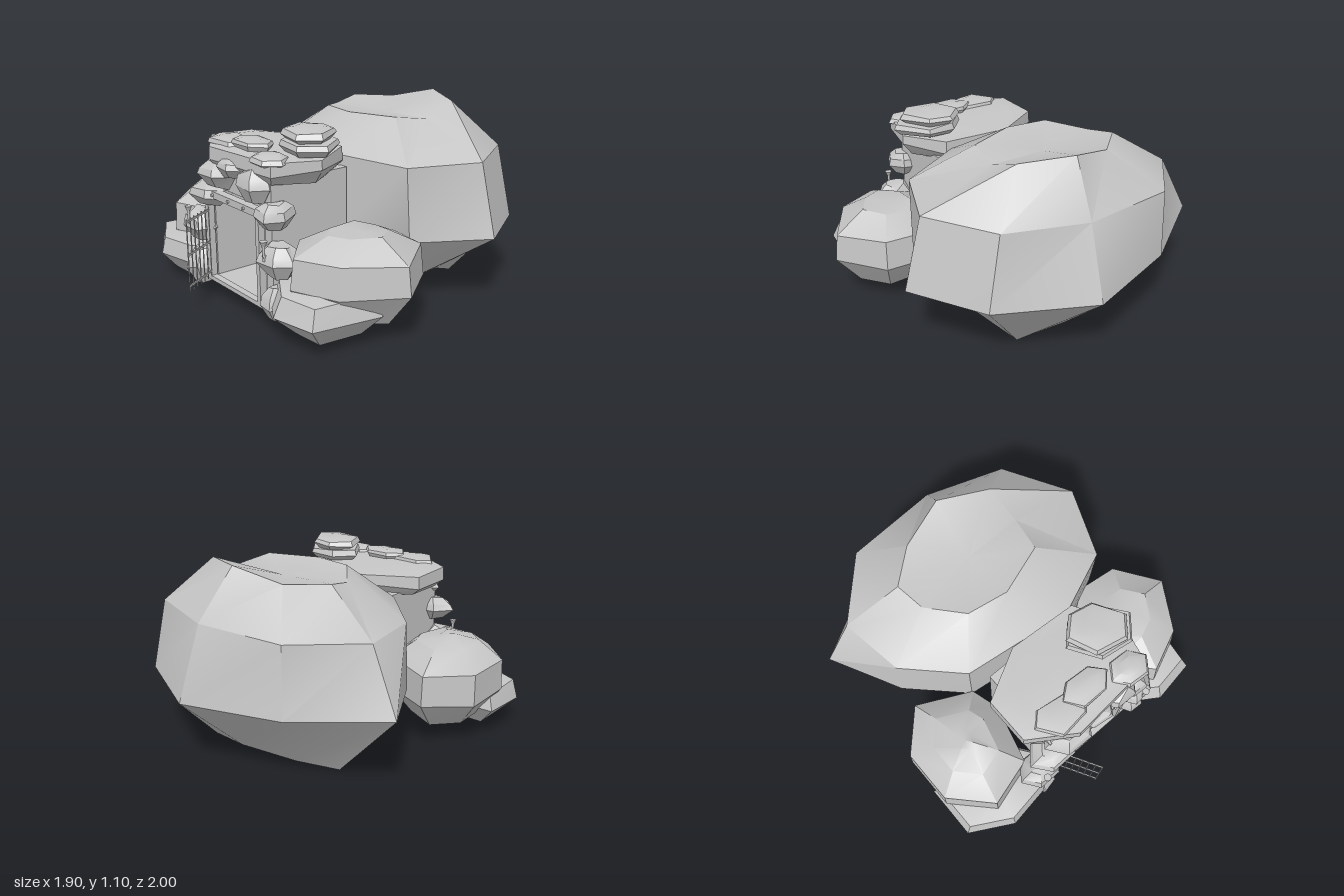
import * as THREE from 'three';
import { toCreasedNormals } from 'three/addons/utils/BufferGeometryUtils.js';

export function createModel() {
  const root = new THREE.Group();
  root.name = 'caveEntrance';
  const stone = new THREE.MeshStandardMaterial({ color: 0xc6c6c6, side: THREE.DoubleSide });
  stone.name = 'grey stone';

  const add = (name, geo, x = 0, y = 0, z = 0, parent = root) => {
    const m = new THREE.Mesh(geo, stone);
    m.name = name;
    m.position.set(x, y, z);
    parent.add(m);
    return m;
  };
  // box given by its minimum and maximum corners
  const box = (name, a, b) => add(name,
    new THREE.BoxGeometry(b[0] - a[0], b[1] - a[1], b[2] - a[2]),
    (a[0] + b[0]) / 2, (a[1] + b[1]) / 2, (a[2] + b[2]) / 2);

  let seed = 7;
  const rand = () => {
    seed = (seed * 16807) % 2147483647;
    return seed / 2147483647 - 0.5;
  };

  // skin stacked rings of points, from bottom to top, with closed ends
  function loft(name, rings, bottom, top) {
    const n = rings[0].length, pos = [...rings.flat(2), ...bottom, ...top], idx = [];
    const b = n * rings.length, t = b + 1, last = b - n;
    for (let i = 0; i < n; i++) {
      const j = (i + 1) % n;
      for (let r = 0; r < rings.length - 1; r++) {
        const o = r * n, u = o + n;
        idx.push(o + i, u + i, o + j, u + i, u + j, o + j);
      }
      idx.push(b, i, j, t, last + j, last + i);
    }
    const g = new THREE.BufferGeometry();
    g.setAttribute('position', new THREE.Float32BufferAttribute(pos, 3));
    g.setIndex(idx);
    add(name, toCreasedNormals(g, 0.5));
  }

  // rock from a plan outline [x, z] and levels [y, scale]
  function rock(name, outline, levels, wobble = 0.02) {
    const n = outline.length;
    const cx = outline.reduce((s, p) => s + p[0], 0) / n;
    const cz = outline.reduce((s, p) => s + p[1], 0) / n;
    const rings = levels.map(([y, s]) => outline.map(([x, z]) =>
      [cx + (x - cx) * s, y + rand() * wobble, cz + (z - cz) * s]));
    loft(name, rings, [cx, levels[0][0], cz], [cx, levels[levels.length - 1][0], cz]);
  }

  // small six-sided boulder filling a box of the given centre and half sizes
  function boulder(name, x, y, z, rx, ry, rz) {
    const outline = [];
    for (let i = 0; i < 6; i++) {
      const a = (i / 6) * Math.PI * 2;
      outline.push([x + rx * Math.cos(a), z + rz * (Math.sin(a) * 1.12 + rand() * 0.25)]);
    }
    rock(name, outline, [[y - ry, 0.55], [y - ry * 0.1, 1], [y + ry * 0.5, 0.88], [y + ry, 0.5]], ry * 0.3);
  }

  // great boulder behind the entrance
  loft('greatBoulder', [
    [[-0.5, 0, -0.43], [-0.3, 0.04, -0.56], [0.05, 0.05, -0.62], [0.33, 0.01, -0.55], [0.45, 0.12, -0.3],
      [0.33, 0.02, -0.07], [0.1, 0.05, 0], [-0.25, 0.08, -0.05], [-0.45, 0.05, -0.2]],
    [[-0.94, 0.46, -0.55], [-0.46, 0.42, -0.84], [0.12, 0.41, -1], [0.64, 0.41, -0.73], [0.88, 0.42, -0.31],
      [0.61, 0.41, 0.07], [0.22, 0.42, 0.24], [-0.42, 0.42, 0.16], [-0.72, 0.44, -0.13]],
    [[-0.76, 0.81, -0.51], [-0.45, 0.82, -0.83], [0.1, 0.82, -0.86], [0.55, 0.83, -0.7], [0.77, 0.83, -0.31],
      [0.6, 0.83, 0.09], [0.22, 0.86, 0.25], [-0.42, 0.83, 0.16], [-0.7, 0.81, -0.13]],
    [[-0.43, 1.03, -0.42], [-0.24, 1.03, -0.58], [0.04, 1.1, -0.66], [0.32, 1.08, -0.53], [0.33, 1, -0.32],
      [0.29, 1.03, -0.11], [0, 1.03, -0.01], [-0.24, 1.03, -0.05], [-0.4, 1, -0.25]],
  ], [-0.15, 0.17, -0.32], [-0.01, 0.99, -0.32]);

  // flanking rocks
  rock('leftUpperRock', [[0.29, 0.23], [0.51, 0.08], [0.76, 0.11], [0.95, 0.38], [0.76, 0.68], [0.5, 0.79], [0.3, 0.6]],
    [[0.11, 0.6], [0.29, 1], [0.46, 0.95], [0.55, 0.45]]);
  rock('leftLowerRock', [[0.5, 0.3], [0.7, 0.3], [0.82, 0.45], [0.76, 0.85], [0.49, 0.89], [0.27, 0.75], [0.3, 0.5]],
    [[0.05, 0.6], [0.17, 1], [0.28, 0.85], [0.3, 0.4]]);
  rock('rightUpperRock', [[-0.94, 0.22], [-0.73, 0], [-0.41, 0.16], [-0.36, 0.33], [-0.45, 0.68], [-0.73, 0.76], [-0.94, 0.54]],
    [[0.12, 0.6], [0.28, 1], [0.46, 0.98], [0.57, 0.55], [0.6, 0.15]]);
  rock('rightLowerRock', [[-0.95, 0.42], [-0.5, 0.4], [-0.32, 0.65], [-0.42, 0.84], [-0.7, 0.88], [-0.95, 0.74]],
    [[0.06, 0.65], [0.17, 1], [0.27, 0.9], [0.29, 0.4]]);

  // stacked cap rocks over the entrance
  rock('capRock', [[-0.46, 0.37], [-0.16, 0.21], [0.26, 0.24], [0.41, 0.5], [0.34, 0.78], [-0.2, 0.82], [-0.46, 0.65]],
    [[0.78, 0.85], [0.84, 0.98], [0.91, 0.97], [0.92, 0.7]]);
  rock('flatRock', [[-0.37, 0.64], [-0.3, 0.57], [-0.1, 0.6], [-0.02, 0.66], [-0.1, 0.75], [-0.28, 0.77]],
    [[0.9, 0.85], [0.92, 1], [0.94, 0.93], [0.95, 0.5]], 0.01);
  rock('flatRock', [[-0.17, 0.63], [-0.08, 0.56], [0.07, 0.57], [0.14, 0.65], [0.06, 0.73], [-0.1, 0.73]],
    [[0.91, 0.85], [0.94, 1], [0.96, 0.93], [0.97, 0.5]], 0.01);
  rock('stackedRock', [[0.04, 0.42], [0.15, 0.31], [0.32, 0.31], [0.46, 0.5], [0.35, 0.63], [0.15, 0.6]],
    [[0.92, 0.8], [0.95, 0.97], [0.98, 0.9]], 0.01);
  rock('topRock', [[0.06, 0.4], [0.17, 0.3], [0.31, 0.33], [0.41, 0.5], [0.32, 0.61], [0.13, 0.57]],
    [[0.98, 0.75], [1.01, 1], [1.035, 0.9], [1.045, 0.5]], 0.01);

  // small rocks framing the doorway: centre, then half sizes
  [
    [-0.395, 0.165, 0.75, 0.095, 0.1, 0.1],
    [-0.405, 0.41, 0.75, 0.14, 0.09, 0.1],
    [-0.31, 0.62, 0.74, 0.165, 0.065, 0.1],
    [-0.21, 0.755, 0.74, 0.16, 0.075, 0.1],
    [-0.04, 0.825, 0.76, 0.12, 0.055, 0.08],
    [0.15, 0.765, 0.75, 0.13, 0.085, 0.09],
    [0.285, 0.63, 0.73, 0.1, 0.065, 0.1],
    [0.345, 0.4, 0.74, 0.13, 0.08, 0.1],
    [0.335, 0.16, 0.75, 0.09, 0.09, 0.1],
    [0.24, 0.91, 0.72, 0.13, 0.035, 0.09],
  ].forEach((p) => boulder('doorwayRock', ...p));

  // passage walls, roof and floor
  box('rightPassageWall', [-0.34, 0.11, 0.24], [-0.28, 0.78, 0.74]);
  box('leftPassageWall', [0.22, 0.11, 0.24], [0.28, 0.78, 0.74]);
  box('passageRoof', [-0.34, 0.66, 0.24], [0.28, 0.8, 0.74]);
  box('passageFloor', [-0.34, 0.105, 0.24], [0.28, 0.125, 0.79]);

  // back wall with a round rim
  box('backWall', [-0.28, 0.12, 0.25], [0.22, 0.67, 0.28]);
  add('roundRim', new THREE.TorusGeometry(0.22, 0.007, 6, 32), -0.04, 0.42, 0.283);

  // door frame with bolts
  box('rightDoorPost', [-0.305, 0.11, 0.75], [-0.275, 0.65, 0.79]);
  box('leftDoorPost', [0.2, 0.11, 0.75], [0.23, 0.65, 0.79]);
  box('lintel', [-0.3, 0.615, 0.75], [0.225, 0.655, 0.8]);
  box('sill', [-0.3, 0.11, 0.75], [0.225, 0.13, 0.79]);
  for (const x of [-0.2, -0.04, 0.11]) {
    add('bolt', new THREE.CylinderGeometry(0.009, 0.009, 0.012, 8).rotateX(Math.PI / 2), x, 0.635, 0.804);
  }

  // open barred gate swung outward
  const gate = new THREE.Group();
  gate.name = 'gate';
  gate.position.set(-0.272, 0, 0.79);
  gate.rotation.y = -Math.atan2(0.207, 0.117);
  root.add(gate);
  const gateWidth = 0.236;
  for (let i = 0; i < 7; i++) {
    add('gateBar', new THREE.CylinderGeometry(0.004, 0.004, 0.42, 6), (gateWidth * i) / 6, 0.335, 0, gate);
  }
  for (const y of [0.16, 0.34, 0.53]) {
    add('gateRail', new THREE.BoxGeometry(gateWidth, 0.01, 0.008), gateWidth / 2, y, 0, gate);
  }

  // torches on the doorway rocks
  for (const x of [-0.425, 0.34]) {
    add('torchHandle', new THREE.CylinderGeometry(0.009, 0.007, 0.09, 8), x, 0.46, 0.835);
    add('torchCup', new THREE.CylinderGeometry(0.022, 0.011, 0.025, 8), x, 0.512, 0.835);
    add('torchBracket', new THREE.BoxGeometry(0.012, 0.012, 0.06), x, 0.44, 0.81);
  }
  return root;
}
